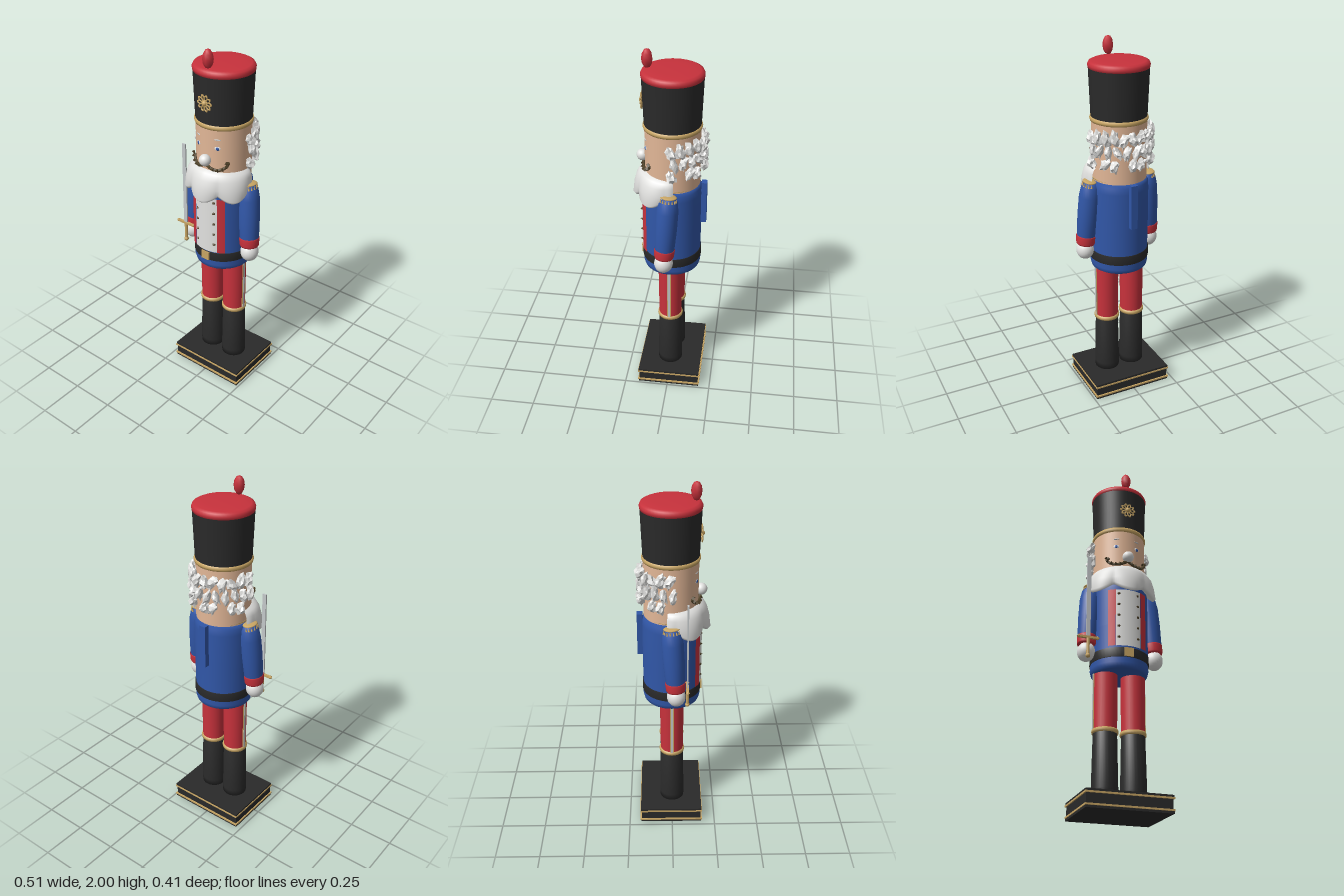
import * as THREE from 'three';
import { mergeGeometries } from 'three/addons/utils/BufferGeometryUtils.js';

const material = (name, color, extra = {}) =>
  Object.assign(new THREE.MeshStandardMaterial({ color, ...extra }), { name });

export function createModel() {
  const red = material('red', 0xc8323c);
  const blue = material('blue', 0x3157a8);
  const black = material('black', 0x2a2a2a);
  const gold = material('gold', 0xc9a664);
  const bronze = material('dark bronze', 0x54462c);
  const skin = material('skin', 0xe2b797);
  const white = material('white', 0xe2e2e0, { side: THREE.DoubleSide });
  const hairWhite = material('hair white', 0xe2e2e0, { flatShading: true });
  const steel = material('steel', 0xc4c8ca);

  const model = new THREE.Group();
  model.name = 'toySoldier';
  const figure = new THREE.Group();
  figure.name = 'figure';
  figure.position.x = 0.008;
  model.add(figure);

  const add = (name, geometry, mat, x = 0, y = 0, z = 0, parent = figure) => {
    const mesh = new THREE.Mesh(geometry, mat);
    mesh.name = name;
    mesh.position.set(x, y, z);
    parent.add(mesh);
    return mesh;
  };
  const box = (w, h, d) => new THREE.BoxGeometry(w, h, d);
  const lathe = (pts, sides = 40) =>
    new THREE.LatheGeometry(pts.map(([r, y]) => new THREE.Vector2(r, y)), sides);
  const band = (r, h, from, to) =>
    new THREE.CylinderGeometry(r, r, h, 16, 1, true, from, to - from);
  const ring = (r, tube) => new THREE.TorusGeometry(r, tube, 8, 40).rotateX(Math.PI / 2);
  // point on an upright cylinder; angle 0 is the front
  const around = (r, a, y) => new THREE.Vector3(r * Math.sin(a), y, r * Math.cos(a));
  let seed = 7;
  const random = () => (seed = (seed * 16807) % 2147483647) / 2147483647;

  // Plinth with two gold trims
  add('plinthCore', box(0.45, 0.09, 0.348), black, 0, 0.045, -0.006);
  add('plinthFoot', box(0.458, 0.012, 0.356), black, 0, 0.006, -0.006);
  add('plinthTop', box(0.458, 0.012, 0.356), black, 0, 0.087, -0.006);
  for (const y of [0.017, 0.077]) add('plinthTrim', box(0.464, 0.009, 0.364), gold, 0, y, -0.006);

  for (const s of [-1, 1]) {
    // Legs and boots
    const x = s * 0.078;
    add('boot', lathe([[0, 0.09], [0.069, 0.09], [0.07, 0.13], [0.064, 0.425], [0, 0.43]], 28), black, x);
    add('bootCuff', lathe([[0.06, 0.422], [0.07, 0.425], [0.072, 0.436], [0.069, 0.446], [0.06, 0.447]], 28), gold, x);
    add('trouserLeg', new THREE.CylinderGeometry(0.067, 0.064, 0.33, 28), red, x, 0.605);
    add('trouserPiping', box(0.008, 0.31, 0.022), gold, x + s * 0.064, 0.6);
    add('trouserStripe', box(0.009, 0.31, 0.013), steel, x + s * 0.0655, 0.6);

    // Arm, hanging slightly outwards and forwards
    const arm = new THREE.Group();
    arm.name = s > 0 ? 'leftArm' : 'rightArm';
    arm.position.set(s * 0.165, 1.275, -0.002);
    arm.rotation.set(-0.06, 0, s * 0.075);
    figure.add(arm);
    add('sleeve', lathe([[0.044, -0.34], [0.053, -0.32], [0.058, -0.2], [0.058, -0.09],
      [0.05, -0.035], [0.032, -0.008], [0, 0]], 28), blue, 0, 0, 0, arm);
    add('cuff', lathe([[0, -0.375], [0.05, -0.373], [0.053, -0.365], [0.056, -0.325],
      [0.052, -0.317], [0.03, -0.316]], 28), red, 0, 0, 0, arm);
    add('hand', new THREE.SphereGeometry(1, 24, 16).scale(0.049, 0.055, 0.051), white, 0, -0.411, 0, arm);
    add('epaulette', new THREE.SphereGeometry(1, 16, 8).scale(0.036, 0.008, 0.045), gold, s * 0.008, -0.005, 0, arm);
    for (let i = 0; i < 8; i++) {
      const a = i * 0.4 - 1.4;
      add('fringe', new THREE.ConeGeometry(0.006, 0.022, 5), gold,
        s * (0.008 + 0.034 * Math.cos(a)), -0.018, 0.044 * Math.sin(a), arm);
    }
  }

  // Coat
  add('coat', lathe([[0, 0.75], [0.142, 0.75], [0.153, 0.757], [0.159, 0.78], [0.157, 0.83],
    [0.159, 1], [0.159, 1.22], [0.156, 1.255], [0.145, 1.277], [0, 1.28]], 48), blue);
  add('belt', lathe([[0.155, 0.808], [0.162, 0.81], [0.162, 0.86], [0.155, 0.862]], 48), black);
  add('buckle', box(0.05, 0.05, 0.008), gold, 0, 0.835, 0.163);
  add('plastron', band(0.165, 0.335, -0.44, 0.44), white, 0, 1.037);
  for (const s of [-1, 1]) {
    const lapel = s > 0 ? [0.44, 0.7] : [-0.7, -0.44];
    const lapelMesh = add('lapel', band(0.167, 0.335, ...lapel), red, 0, 1.037);
    lapelMesh.name = s > 0 ? 'leftLapel' : 'rightLapel';
    for (let i = 0; i < 5; i++) {
      const p = around(0.167, s * 0.32, 0.92 + i * 0.065);
      add('button', new THREE.ConeGeometry(0.013, 0.018, 6).rotateX(Math.PI / 2), bronze, p.x, p.y, p.z);
    }
  }
  add('backLever', box(0.038, 0.245, 0.03), blue, 0, 1.155, -0.172);
  add('collar', ring(0.143, 0.006), gold, 0, 1.283);

  // Head and face
  add('head', new THREE.CylinderGeometry(0.147, 0.147, 0.32, 48), skin, 0, 1.435, -0.003);
  add('nose', new THREE.SphereGeometry(0.032, 20, 14), white, 0, 1.418, 0.157);
  for (const s of [-1, 1]) {
    const parts = [
      ['eyeWhite', 0.017, 0.013, 0.145, 1.49, white],
      ['iris', 0.009, 0.01, 0.147, 1.489, blue],
      ['eyebrow', 0.018, 0.004, 0.146, 1.538, steel],
    ];
    for (const [name, w, h, r, y, mat] of parts) {
      const p = around(r, s * 0.43, y);
      add(name, new THREE.SphereGeometry(1, 14, 8).scale(w, h, 0.004), mat, p.x, p.y, p.z - 0.003)
        .rotation.y = s * 0.43;
    }
    // Curled moustache half with pointed tufts
    const path = [[0.02, 1.392], [0.2, 1.376], [0.42, 1.37], [0.65, 1.38], [0.8, 1.405], [0.7, 1.416]];
    const curve = new THREE.CatmullRomCurve3(path.map(([a, y]) => around(0.151, s * a, y)));
    add('moustache', new THREE.TubeGeometry(curve, 24, 0.008, 6), bronze);
    for (let i = 0; i < 6; i++) {
      const p = curve.getPoint(0.08 + i * 0.15);
      const tuft = add('moustacheTuft', new THREE.ConeGeometry(0.01, 0.028, 4), bronze, p.x, p.y, p.z + 0.004);
      tuft.rotation.z = s * (1.2 + i * 0.25);
    }
  }

  // Beard: rows swept round the jaw with a scalloped hem
  const beardPos = [], beardIndex = [], cols = 64, rows = 6;
  for (let i = 0; i <= cols; i++) {
    const a = (i / cols * 2 - 1) * 1.72;
    const wave = Math.abs(Math.cos(a * 3.2));
    const side = Math.abs(a) / 1.72;
    const swell = 1 - 0.5 * side ** 8;
    const hem = 1.228 - 0.04 * wave + 0.02 * side ** 2;
    const profile = [[0.146, 1.362 - 0.015 * side], [0.17, 1.352 - 0.015 * side],
      [0.186 + 0.004 * wave, 1.315], [0.19 + 0.012 * wave, 1.27],
      [0.188 + 0.022 * wave, hem + 0.014], [0.18 + 0.018 * wave, hem], [0.14, 1.25]];
    for (const [r, y] of profile) beardPos.push(...around(0.146 + (r - 0.146) * swell, a, y).toArray());
    if (i < cols) for (let j = 0; j < rows; j++) {
      const k = i * (rows + 1) + j, n = k + rows + 1;
      beardIndex.push(k, k + 1, n, n, k + 1, n + 1);
    }
  }
  const beard = new THREE.BufferGeometry();
  beard.setAttribute('position', new THREE.Float32BufferAttribute(beardPos, 3));
  beard.setIndex(beardIndex);
  beard.computeVertexNormals();
  add('beard', beard, white);

  // Hair: ragged faceted locks round the sides and back, leaving gaps
  const locks = [];
  const addLock = (a, y, w, h, tilt) => {
    const g = new THREE.IcosahedronGeometry(1, 1);
    const p = g.attributes.position, phase = random() * 6;
    for (let i = 0; i < p.count; i++) {
      const v = new THREE.Vector3().fromBufferAttribute(p, i);
      const k = 0.95 + 0.38 * Math.sin(v.x * 5 + phase) * Math.cos(v.y * 6 + v.z * 4 + phase);
      p.setXYZ(i, v.x * k * w + 0.35 * w * v.y * v.y, v.y * k * h, v.z * k * 0.024);
    }
    const c = around(0.163, a, y);
    g.rotateZ(tilt).rotateY(a).translate(c.x, c.y, c.z - 0.003);
    locks.push(g);
  };
  for (let i = 0; i < 11; i++) {
    const a = 1.62 + i * 0.304;
    addLock(a, 1.515 + random() * 0.02, 0.024, 0.042, random() * 1.6 - 0.8);
    addLock(a + 0.1, 1.445 + random() * 0.02, 0.019, 0.042, random() * 1.4 - 0.7);
    if (i % 3 !== 1) addLock(a, 1.375 + random() * 0.02, 0.023, 0.036, random() * 1.8 - 0.9);
  }
  const hair = mergeGeometries(locks);
  hair.computeVertexNormals();
  add('hair', hair, hairWhite);

  // Hat
  add('hatBrim', lathe([[0.14, 1.588], [0.151, 1.59], [0.155, 1.602], [0.151, 1.614], [0.14, 1.615]], 48), gold, 0, 0, -0.002);
  add('hat', new THREE.CylinderGeometry(0.158, 0.148, 0.265, 48), black, 0, 1.737, -0.002);
  add('hatCrown', lathe([[0.15, 1.862], [0.159, 1.865], [0.161, 1.88], [0.155, 1.893],
    [0.14, 1.9], [0.08, 1.903], [0, 1.903]], 48), red, 0, 0, -0.002);
  add('pompom', new THREE.SphereGeometry(1, 7, 6).scale(0.029, 0.05, 0.029), red, 0, 1.95, 0.125);

  // Hat rosette
  const rosette = new THREE.Group();
  rosette.name = 'rosette';
  rosette.position.set(0, 1.73, 0.156);
  figure.add(rosette);
  add('rosetteCentre', new THREE.SphereGeometry(0.014, 12, 8), gold, 0, 0, 0, rosette);
  for (let i = 0; i < 10; i++) {
    const a = i * Math.PI / 5;
    const petal = add('petal', new THREE.TorusGeometry(0.01, 0.004, 5, 10).scale(1.5, 0.85, 1), gold,
      0.027 * Math.cos(a), 0.027 * Math.sin(a), 0, rosette);
    petal.rotation.z = a;
  }

  // Sword held upright in the right hand
  const sword = new THREE.Group();
  sword.name = 'sword';
  sword.position.set(-0.203, 0, 0.083);
  figure.add(sword);
  add('blade', box(0.023, 0.49, 0.008), steel, 0, 1.175, 0, sword);
  add('guard', box(0.115, 0.012, 0.014), gold, 0, 0.926, 0, sword);
  add('grip', new THREE.CylinderGeometry(0.009, 0.009, 0.1, 10), gold, 0, 0.87, 0, sword);
  add('pommel', new THREE.SphereGeometry(0.013, 10, 8), gold, 0, 0.82, 0, sword);
  for (const s of [-1, 1]) add('guardTip', new THREE.OctahedronGeometry(0.012), gold, s * 0.053, 0.926, 0, sword);

  return model;
}
